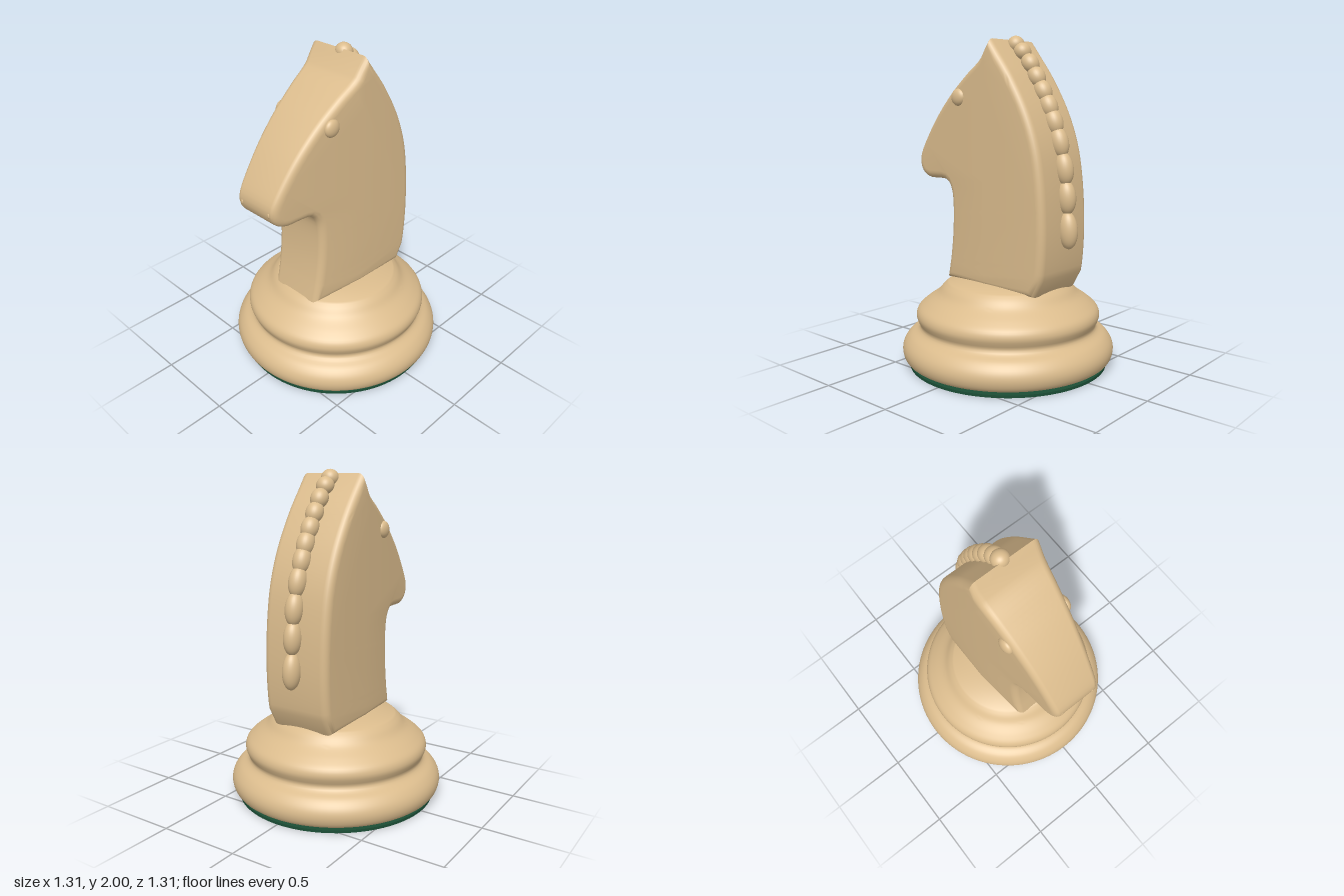
import * as THREE from 'three';
import { toCreasedNormals } from 'three/addons/utils/BufferGeometryUtils.js';

const vec = ([x, y]) => new THREE.Vector2(x, y);
const spline = (pts, n) => new THREE.SplineCurve(pts.map(vec)).getSpacedPoints(n);

// Splits every triangle that crosses the plane z = 0, so the side can bend there
function splitAtZero(geometry) {
  const p = geometry.getAttribute('position');
  const out = [];
  const emit = (poly) => {
    for (let i = 1; i + 1 < poly.length; i++) {
      for (const v of [poly[0], poly[i], poly[i + 1]]) out.push(v.x, v.y, v.z);
    }
  };
  for (let i = 0; i < p.count; i += 3) {
    const tri = [0, 1, 2].map((k) => new THREE.Vector3().fromBufferAttribute(p, i + k));
    for (const sign of [1, -1]) {
      const poly = [];
      tri.forEach((a, k) => {
        const b = tri[(k + 1) % 3];
        if (a.z * sign >= 0) poly.push(a);
        if (a.z * b.z < 0) poly.push(a.clone().lerp(b, a.z / (a.z - b.z)));
      });
      if (poly.length > 2 && poly.some((v) => v.z * sign > 1e-7)) emit(poly);
    }
  }
  const g = new THREE.BufferGeometry();
  g.setAttribute('position', new THREE.Float32BufferAttribute(out, 3));
  return g;
}

// Horse head and neck: bevelled side profile, narrowing towards the nose
function headGeometry() {
  const front = spline([
    [0.36, 0.51], [0.33, 0.66], [0.31, 0.82], [0.306, 0.98], [0.322, 1.08], [0.37, 1.13],
    [0.45, 1.134], [0.54, 1.135], [0.605, 1.17], [0.63, 1.24], [0.6, 1.325], [0.47, 1.505],
    [0.32, 1.66], [0.17, 1.78], [0.05, 1.865], [-0.03, 1.975],
  ], 64);
  const back = spline([
    [-0.03, 1.975], [-0.1, 1.885], [-0.2, 1.75], [-0.31, 1.56], [-0.385, 1.36], [-0.423, 1.14],
    [-0.437, 0.9], [-0.43, 0.7], [-0.408, 0.57], [-0.36, 0.5],
  ], 40);
  // Keep the corners clear of close points so the bevel stays clean
  const corners = [front[0], back[0], back[back.length - 1]];
  const clear = (q) => corners.every((c) => c.distanceTo(q) > 0.1);
  const outline = [corners[0], ...front.filter(clear), corners[1], ...back.filter(clear), corners[2]];

  const bevel = 0.045;
  const depth = 0.44 - 2 * bevel;
  const extruded = new THREE.ExtrudeGeometry(new THREE.Shape(outline), {
    depth, bevelEnabled: true, bevelThickness: bevel, bevelSize: bevel,
    bevelOffset: -bevel, bevelSegments: 6,
  });
  extruded.translate(0, 0, -depth / 2).rotateY(-Math.PI / 2);
  const g = splitAtZero(extruded.index ? extruded.toNonIndexed() : extruded);
  const p = g.getAttribute('position');
  for (let i = 0; i < p.count; i++) {
    p.setX(i, p.getX(i) * (1 - 0.48 * Math.max(0, p.getZ(i))));
  }
  return toCreasedNormals(g, 0.7);
}

export function createModel() {
  const wood = new THREE.MeshStandardMaterial({ color: 0xdbbc8d });
  wood.name = 'paleWood';
  const felt = new THREE.MeshStandardMaterial({ color: 0x1b4d35 });
  felt.name = 'greenFelt';

  const model = new THREE.Group();
  model.name = 'chessKnight';
  const add = (name, geometry, material, parent = model) => {
    const mesh = new THREE.Mesh(geometry, material);
    mesh.name = name;
    parent.add(mesh);
    return mesh;
  };

  // Felt pad under the base
  add('feltPad', new THREE.CylinderGeometry(0.613, 0.613, 0.016, 96), felt).position.y = 0.008;

  // Turned base: curved wall between a flat underside and a shallow dome
  const wall = spline([
    [0.6, 0.028], [0.638, 0.05], [0.655, 0.1], [0.645, 0.15], [0.61, 0.195], [0.562, 0.225],
    [0.546, 0.25], [0.558, 0.28], [0.568, 0.315], [0.555, 0.355], [0.51, 0.395], [0.44, 0.445],
    [0.4, 0.49], [0.368, 0.517],
  ], 48);
  const profile = [vec([0, 0.014]), vec([0.5, 0.02]), ...wall, vec([0.2, 0.533]), vec([0, 0.54])];
  add('base', toCreasedNormals(new THREE.LatheGeometry(profile, 96), 0.6), wood);

  add('head', headGeometry(), wood);

  // Eyes and nostrils, mirrored
  const ball = new THREE.SphereGeometry(1, 32, 20);
  for (const [side, s] of [['left', 1], ['right', -1]]) {
    const eye = add(side + 'Eye', ball, wood);
    eye.position.set(s * 0.193, 1.64, 0.228);
    eye.scale.set(0.03, 0.052, 0.052);
    const nostril = add(side + 'Nostril', ball, wood);
    nostril.position.set(s * 0.11, 1.23, 0.616);
    nostril.scale.set(0.012, 0.022, 0.018);
  }

  // Mane: overlapping beads down the back of the neck [z, y, half length]
  const beads = [
    [-0.063, 1.948, 0.052], [-0.112, 1.905, 0.055], [-0.17, 1.835, 0.062], [-0.218, 1.757, 0.066],
    [-0.265, 1.675, 0.07], [-0.307, 1.59, 0.076], [-0.345, 1.5, 0.082], [-0.386, 1.385, 0.092],
    [-0.422, 1.235, 0.098], [-0.441, 1.07, 0.1], [-0.455, 0.88, 0.11],
  ];
  const mane = new THREE.Group();
  mane.name = 'mane';
  model.add(mane);
  beads.forEach(([z, y, half], i) => {
    const a = beads[Math.max(0, i - 1)];
    const b = beads[Math.min(beads.length - 1, i + 1)];
    const bead = add('maneBead' + (i + 1), ball, wood, mane);
    bead.position.set(0, y, z);
    bead.rotation.x = Math.atan2(a[0] - b[0], a[1] - b[1]);
    bead.scale.set(0.053, half, 0.05 + 0.001 * i);
  });
  return model;
}
